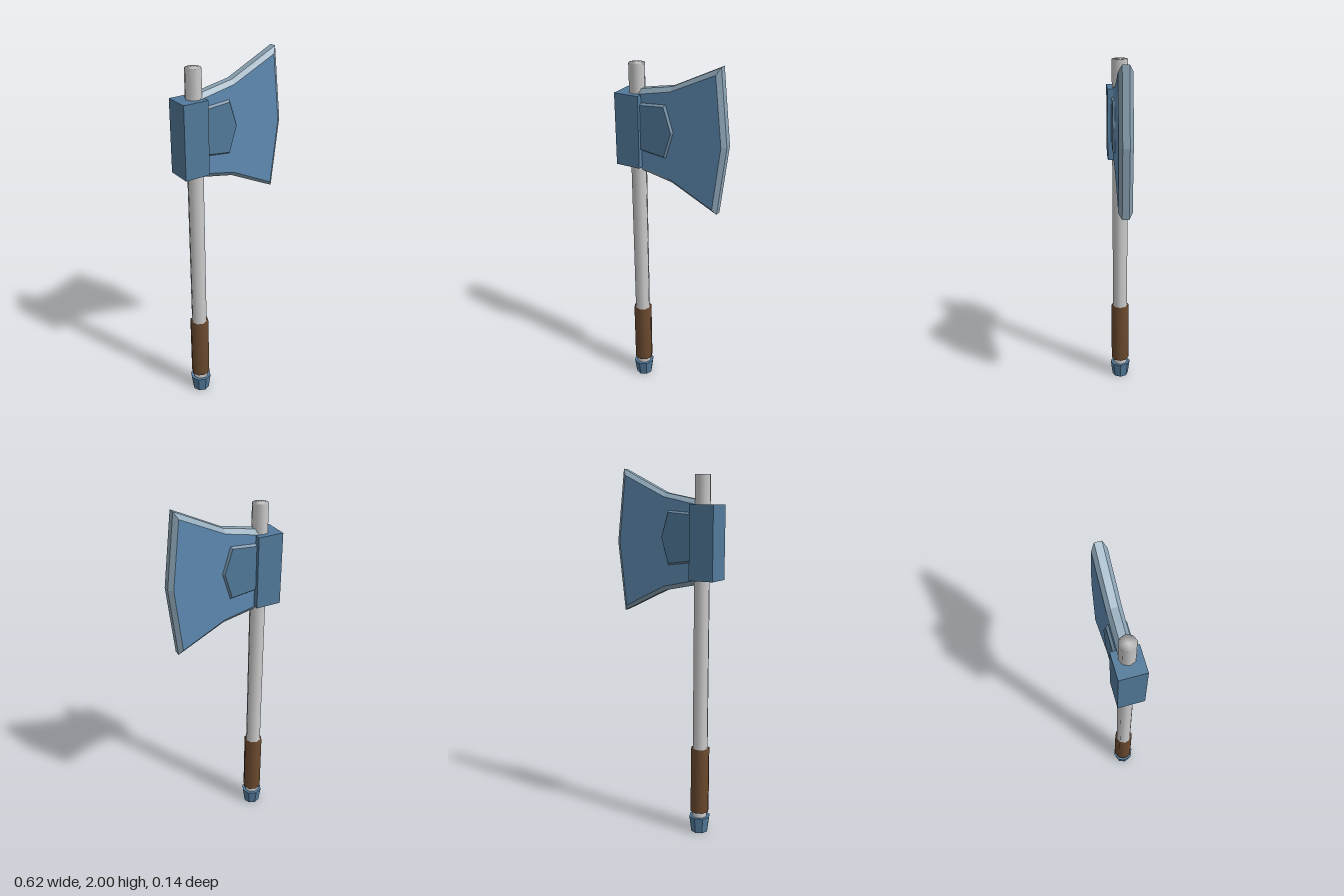
import * as THREE from 'three';
import { mergeVertices, mergeGeometries } from 'three/addons/utils/BufferGeometryUtils.js';

const POLE_X = -0.212;
const mat = (color, flatShading = false) => {
  const m = new THREE.MeshStandardMaterial({ color });
  m.flatShading = flatShading;
  return m;
};

function part(name, geometry, material) {
  const mesh = new THREE.Mesh(geometry, material);
  mesh.name = name;
  return mesh;
}

// Eight-sided rod; smooth rods share normals across the cap rim
function rod(name, rTop, rBottom, y0, y1, color, flat) {
  let g = new THREE.CylinderGeometry(rTop, rBottom, y1 - y0, 8);
  if (!flat) {
    g.deleteAttribute('normal');
    g.deleteAttribute('uv');
    g = mergeVertices(g);
    g.computeVertexNormals();
  }
  g.translate(POLE_X, (y0 + y1) / 2, 0);
  return part(name, g, mat(color, flat));
}

// Flat face on both sides, from an outline in x and y
function twoFaces(outline, z) {
  const face = (sign) => {
    const shape = new THREE.Shape(outline.map(([x, y]) => new THREE.Vector2(sign * x, y)));
    const g = new THREE.ShapeGeometry(shape).translate(0, 0, z);
    return sign < 0 ? g.rotateY(Math.PI) : g;
  };
  return mergeGeometries([face(1), face(-1)]);
}

// Bevelled edge: bands joining inner and outer outlines (both counter-clockwise)
function rim(inner, outer, zFace, zEdge) {
  const rings = [[inner, -zFace], [outer, -zEdge], [outer, zEdge], [inner, zFace]];
  const n = inner.length, positions = [], index = [];
  rings.forEach(([pts, z]) => pts.forEach(([x, y]) => positions.push(x, y, z)));
  for (let r = 0; r < 3; r++) {
    for (let i = 0; i < n; i++) {
      const a = r * n + i, b = r * n + (i + 1) % n;
      index.push(a, b, b + n, a, b + n, a + n);
    }
  }
  const g = new THREE.BufferGeometry();
  g.setAttribute('position', new THREE.Float32BufferAttribute(positions, 3));
  g.setIndex(index);
  g.computeVertexNormals();
  return g;
}

function bevelledPlate(name, inner, outer, zFace, zEdge, faceColor, rimColor) {
  const group = new THREE.Group();
  group.name = name;
  group.add(
    part(name + 'Faces', twoFaces(inner, zFace), mat(faceColor, true)),
    part(name + 'Bevel', rim(inner, outer, zFace, zEdge), mat(rimColor, true)),
  );
  return group;
}

export function createModel() {
  const axe = new THREE.Group();
  axe.name = 'axe';

  // Shaft, grip and pommel
  axe.add(
    rod('shaft', 0.043, 0.043, 0.05, 1.96, 0xcccccc, false),
    rod('grip', 0.053, 0.053, 0.12, 0.49, 0x6b4a2f, false),
    rod('pommel', 0.06, 0.048, 0, 0.09, 0x527a9b, true),
  );

  // Socket block around the shaft
  const socket = new THREE.BoxGeometry(0.139, 0.39, 0.138).translate(-0.2395, 1.615, 0);
  axe.add(part('socket', socket, mat(0x527a9b, true)));

  // Flared blade
  axe.add(bevelledPlate('blade',
    [[-0.19, 1.42], [0, 1.38], [0.243, 1.26], [0.283, 1.61], [0.243, 1.965], [0, 1.85], [-0.19, 1.81]],
    [[-0.19, 1.395], [0, 1.357], [0.263, 1.23], [0.307, 1.61], [0.263, 2], [0, 1.872], [-0.19, 1.835]],
    0.037, 0.018, 0x5f8bb3, 0x8ba3b4));

  // Raised cheek plates on both sides of the blade
  axe.add(bevelledPlate('cheekPlate',
    [[-0.19, 1.525], [-0.034, 1.505], [0.008, 1.64], [-0.034, 1.77], [-0.19, 1.757]],
    [[-0.19, 1.515], [-0.028, 1.495], [0.016, 1.64], [-0.028, 1.78], [-0.19, 1.767]],
    0.05, 0.037, 0x527a9b, 0x6f8ca3));

  return axe;
}
